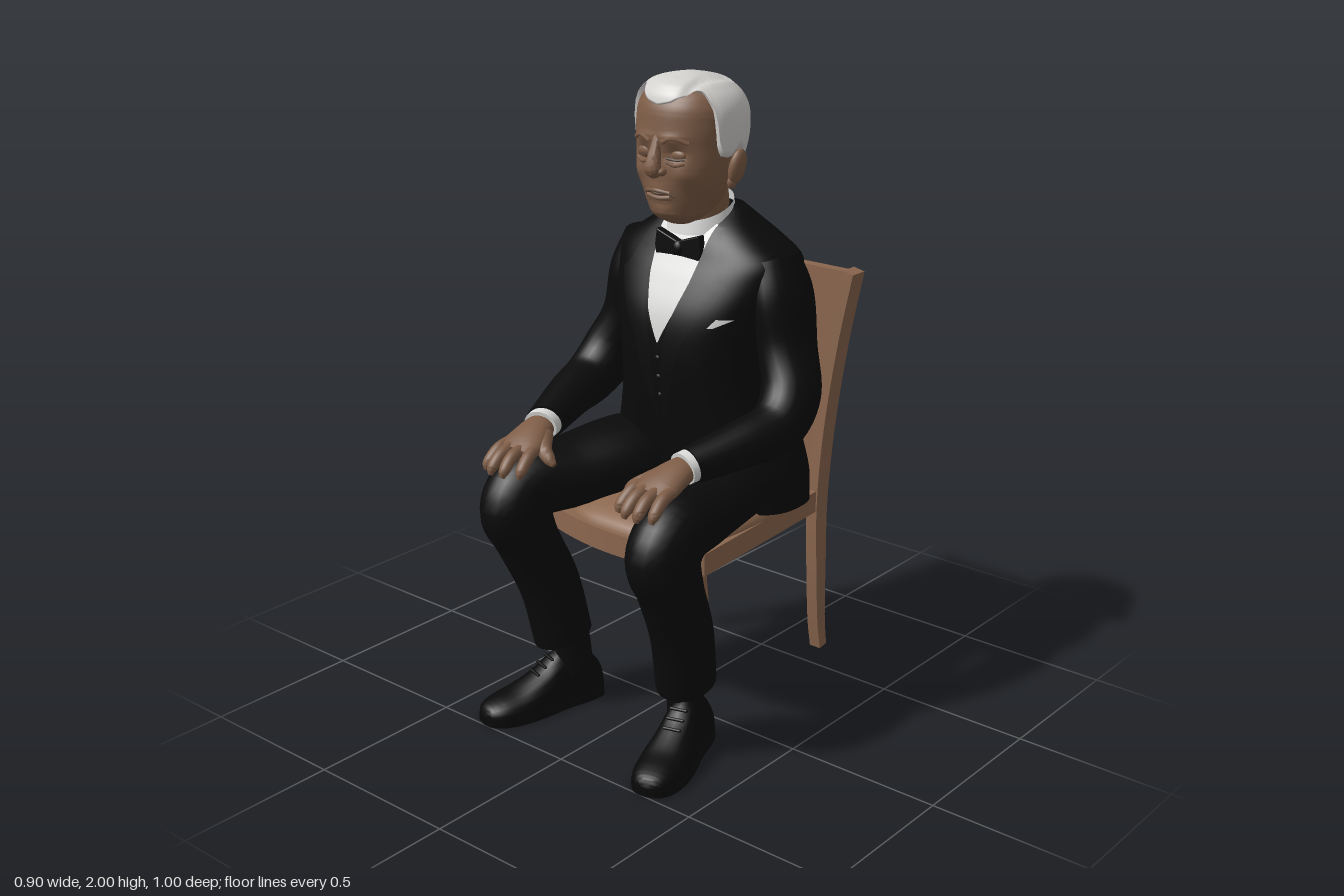
import * as THREE from 'three';
import { mergeVertices, toCreasedNormals } from 'three/addons/utils/BufferGeometryUtils.js';

const M = {};
for (const [name, color] of Object.entries({
  suit: 0x0a0a0b, satin: 0x0c0c0d, shoeLeather: 0x080808, shirt: 0xd9d9d8, hair: 0xd3d1ce,
  skin: 0x7d5c46, skinCrease: 0x4f382a, wood: 0x8b674f, cushionBrown: 0x8a664d,
})) M[name] = new THREE.MeshStandardMaterial({ color, name });
M.shirt.side = THREE.DoubleSide;

const root = new THREE.Group();
function add(name, geo, mat) {
  const m = new THREE.Mesh(geo, mat);
  m.name = name;
  root.add(m);
  return m;
}
const V = (x, y, z) => new THREE.Vector3(x, y, z);
const pw = (v, e) => Math.sign(v) * Math.abs(v) ** e;

// Surface through point(u, v): u runs across, v runs along
function grid(nu, nv, point) {
  const pos = [], idx = [], w = nu + 1;
  for (let i = 0; i <= nv; i++) for (let j = 0; j <= nu; j++) pos.push(...point(j / nu, i / nv).toArray());
  for (let i = 0; i < nv; i++) for (let j = 0; j < nu; j++) {
    const a = i * w + j;
    idx.push(a, a + 1, a + w + 1, a, a + w + 1, a + w);
  }
  const g = new THREE.BufferGeometry();
  g.setAttribute('position', new THREE.Float32BufferAttribute(pos, 3));
  g.setIndex(idx);
  const merged = mergeVertices(g, 1e-5);
  merged.computeVertexNormals();
  return merged;
}
// Closed sweep; rows are [x, y, z, half width, half depth]; nothing dips below floor
function limb(rows, { n = 2, sides = 24, square = false, steps = 6, floor = 0 } = {}) {
  const f = new THREE.CubicInterpolant(rows.map((_, i) => i), rows.flat(), 5);
  const at = t => Array.from(f.evaluate(t));
  const last = rows.length - 1, nv = last * steps;
  const geo = grid(sides, nv + 2, (u, v) => {
    const k = Math.round(v * (nv + 2)), t = THREE.MathUtils.clamp((k - 1) / nv, 0, 1) * last;
    const [x, y, z, a, b] = at(t), c = V(x, y, z);
    if (k === 0 || k === nv + 2) return c;
    const p = at(Math.max(0, t - 0.05)), q = at(Math.min(last, t + 0.05));
    const T = V(q[0] - p[0], q[1] - p[1], q[2] - p[2]).normalize();
    const X = V(1, 0, 0).addScaledVector(T, -T.x).normalize(), B = T.clone().cross(X);
    const ang = (u % 1) * Math.PI * 2 + (square ? Math.PI / 4 : 0), s = square ? Math.SQRT2 : 1;
    c.addScaledVector(X, a * s * pw(Math.cos(ang), 2 / n)).addScaledVector(B, b * s * pw(Math.sin(ang), 2 / n));
    c.y = Math.max(c.y, floor);
    return c;
  });
  return toCreasedNormals(geo, 0.9);
}
// Upright body; rows are [y, front z, back z, half width]
function body(rows, n, bump = () => 0) {
  const f = new THREE.CubicInterpolant(rows.map(r => r[0]), rows.flatMap(r => r.slice(1)), 3);
  const at = y => Array.from(f.evaluate(y));
  const y0 = rows[0][0], y1 = rows[rows.length - 1][0], nv = 60;
  const ring = (y, ang) => {
    const [front, back, rx] = at(y), x = rx * pw(Math.cos(ang), 2 / n), s = -Math.sin(ang);
    return V(x, y, (front + back) / 2 + (front - back) / 2 * pw(s, 2 / n) + (s > 0 ? bump(x, y) * s : 0));
  };
  const geo = grid(64, nv + 2, (u, v) => {
    const k = Math.round(v * (nv + 2)), y = y0 + (y1 - y0) * THREE.MathUtils.clamp((k - 1) / nv, 0, 1);
    if (k === 0 || k === nv + 2) return V(0, y, (at(y)[0] + at(y)[1]) / 2);
    return ring(y, (u % 1) * Math.PI * 2);
  });
  const frontZ = (x, y) => {
    const [front, back, rx] = at(y), s = Math.max(0, 1 - Math.abs(x / rx) ** n) ** (1 / n);
    return (front + back) / 2 + (front - back) / 2 * s + bump(x, y) * s;
  };
  return { geo: toCreasedNormals(geo, 1), frontZ, ring };
}
function blob(name, mat, p, s, rz = 0, rx = 0) {
  const m = add(name, new THREE.SphereGeometry(1, 20, 14), mat);
  m.position.set(...p);
  m.scale.set(...s);
  m.rotation.set(rx, 0, rz);
}
const lerpTable = (tab, v) => {
  let i = 0;
  while (i < tab.length - 2 && v > tab[i + 1][0]) i++;
  const [a, b] = [tab[i], tab[i + 1]];
  return a[1] + (b[1] - a[1]) * THREE.MathUtils.clamp((v - a[0]) / (b[0] - a[0]), 0, 1);
};

function buildChair() {
  const edge = y => 0.275 + 0.105 * Math.max(0, (y - 0.6) / 0.79) ** 1.7;
  // Flared back panel
  const s = new THREE.Shape(), ys = Array.from({ length: 13 }, (_, i) => 0.665 + i * 0.722 / 12);
  s.setFromPoints([...ys.map(y => new THREE.Vector2(edge(y) - 0.02, y)),
    ...ys.slice().reverse().map(y => new THREE.Vector2(0.02 - edge(y), y))]);
  add('chairBackPanel', new THREE.ExtrudeGeometry(s, { depth: 0.035, bevelEnabled: false }), M.wood).position.z = -0.468;
  for (const q of [1, -1]) {
    // Back post and splayed leg in one piece
    const rows = [[0.09, -0.478, 0.018], [0.2, -0.462, 0.021], [0.4, -0.444, 0.026], [0.6, -0.439, 0.029],
      [0.8, -0.442, 0.031], [1.0, -0.444, 0.031], [1.2, -0.445, 0.031], [1.39, -0.446, 0.031]]
      .map(([y, z, d]) => [q * (edge(y) - 0.02 - (y < 0.3 ? 0.006 : 0)), y, z, 0.02, d]);
    add('chairBackLeg', limb(rows, { sides: 4, square: true }), M.wood);
  }
  // Seat frame with bowed front edge
  const f = new THREE.Shape();
  f.moveTo(-0.27, 0.43);
  f.lineTo(0.27, 0.43);
  f.lineTo(0.31, -0.2);
  f.quadraticCurveTo(0, -0.31, -0.31, -0.2);
  const frame = new THREE.ExtrudeGeometry(f, { depth: 0.07, bevelEnabled: false, curveSegments: 16 });
  frame.rotateX(-Math.PI / 2);
  add('seatFrame', frame, M.wood).position.y = 0.59;
  // Domed cushion
  add('seatCushion', grid(48, 12, (u, v) => {
    const a = (u % 1) * Math.PI * 2, c = Math.cos(v * Math.PI / 2), k = 2 / 3.2;
    return V(0.29 * c * pw(Math.sin(a), k), 0.66 + 0.084 * Math.sin(v * Math.PI / 2), -0.085 + 0.33 * c * pw(Math.cos(a), k));
  }), M.cushionBrown);
}

function buildTorso() {
  const torso = body([[0.68, -0.04, -0.41, 0.335], [0.78, -0.02, -0.413, 0.33], [0.92, 0.01, -0.413, 0.285],
    [1.05, 0.035, -0.413, 0.25], [1.18, 0.045, -0.415, 0.25], [1.3, 0.03, -0.41, 0.275], [1.4, -0.015, -0.39, 0.3],
    [1.46, -0.05, -0.37, 0.3], [1.51, -0.075, -0.345, 0.235], [1.555, -0.11, -0.312, 0.165], [1.6, -0.18, -0.268, 0.1]], 2.6);
  add('jacket', torso.geo, M.suit);
  // Panels that follow the chest, between two edges
  const panel = (name, mat, y0, y1, l, r, off) => add(name, grid(10, 30, (u, v) => {
    const y = y0 + (y1 - y0) * v, x = l(y) + (r(y) - l(y)) * u;
    return V(x, y, torso.frontZ(x, y) + off);
  }), mat);
  const vee = y => lerpTable([[1.21, 0.002], [1.3, 0.046], [1.4, 0.078], [1.5, 0.096], [1.56, 0.1]], y);
  const lapelOut = y => lerpTable([[0.97, 0.02], [1.2, 0.08], [1.4, 0.2], [1.42, 0.17], [1.55, 0.125]], y);
  const lapelIn = y => lerpTable([[0.97, 0.004], [1.21, 0.025], [1.3, 0.052], [1.4, 0.08], [1.55, 0.1]], y);
  panel('shirtFront', M.shirt, 1.21, 1.555, y => -vee(y), vee, 0.005);
  for (const x of [-0.022, 0, 0.022])
    panel('shirtPleat', M.shirt, 1.29, 1.46, () => x - 0.005, () => x + 0.005, 0.009);
  panel('rightLapel', M.satin, 0.97, 1.55, y => -lapelOut(y), y => -lapelIn(y), 0.011);
  panel('leftLapel', M.satin, 0.97, 1.55, lapelIn, lapelOut, 0.011);
  panel('pocketSquare', M.shirt, 1.278, 1.305, y => 0.165 + (y - 1.278) * 0.8, y => 0.18 + (y - 1.278) * 1.9, 0.01);
  for (const y of [1.16, 1.1, 1.04]) blob('waistcoatButton', M.satin, [0, y, torso.frontZ(0, y) + 0.002], [0.01, 0.01, 0.005]);
  // Shirt collar, higher at the nape
  add('collar', grid(40, 4, (u, v) => {
    const a = (u % 1) * Math.PI * 2, c = Math.cos(a), k = 1.05 - 0.1 * v;
    return V(Math.sin(a) * 0.104 * k, 1.54 - 0.02 * c + v * (0.058 - 0.016 * c), -0.16 + c * 0.098 * k);
  }), M.shirt);
  // Bow tie
  const b = new THREE.Shape([[0, 0.018], [0.078, 0.045], [0.084, 0], [0.078, -0.045], [0, -0.018],
    [-0.078, -0.045], [-0.084, 0], [-0.078, 0.045]].map(p => new THREE.Vector2(...p)));
  add('bowTie', new THREE.ExtrudeGeometry(b, { depth: 0.016, bevelSize: 0.004, bevelThickness: 0.006, bevelSegments: 2 }), M.satin)
    .position.set(0, 1.48, -0.066);
  blob('bowKnot', M.satin, [0, 1.48, -0.05], [0.02, 0.024, 0.016]);
}

function buildHead() {
  add('neck', limb([[0, 1.48, -0.17, 0.09, 0.085], [0, 1.58, -0.157, 0.088, 0.085], [0, 1.7, -0.13, 0.095, 0.09]]), M.skin);
  // Sculpting rule: [x, y, spread x, spread y, depth]
  const dents = [[0.058, 1.778, 0.032, 0.02, -0.016], [0.05, 1.825, 0.045, 0.014, 0.008], [0.085, 1.72, 0.03, 0.025, 0.01],
    [0.1, 1.655, 0.025, 0.03, -0.01], [0, 1.67, 0.04, 0.022, 0.007], [0, 1.6, 0.035, 0.015, 0.006], [0, 1.635, 0.04, 0.009, -0.006]];
  const bump = (x, y) => dents.reduce((s, [a, b, p, q, d]) =>
    s + d * Math.exp(-(((Math.abs(x) - a) / p) ** 2) - ((y - b) / q) ** 2), 0);
  const head = body([[1.56, -0.025, -0.09, 0.035], [1.58, 0.01, -0.12, 0.075], [1.62, 0.032, -0.18, 0.104],
    [1.67, 0.043, -0.195, 0.13], [1.74, 0.05, -0.22, 0.146], [1.8, 0.052, -0.24, 0.15], [1.86, 0.05, -0.25, 0.153],
    [1.92, 0.035, -0.24, 0.145], [1.96, 0, -0.2, 0.112], [1.985, -0.05, -0.15, 0.05]], 2.15, bump);
  add('head', head.geo, M.skin);
  // Thin lines that hug the face
  const line = (name, mat, pts, r) => add(name, new THREE.TubeGeometry(new THREE.CatmullRomCurve3(
    pts.map(([x, y]) => V(x, y, head.frontZ(x, y)))), 16, r, 6), mat);
  line('mouthLine', M.skinCrease, [[-0.055, 1.657], [-0.025, 1.665], [0, 1.662], [0.025, 1.665], [0.055, 1.657]], 0.0028);
  line('lowerLip', M.skin, [[-0.042, 1.654], [0, 1.649], [0.042, 1.654]], 0.008);
  line('upperLip', M.skin, [[-0.042, 1.667], [0, 1.672], [0.042, 1.667]], 0.006);
  add('nose', limb([[0, 1.83, 0.04, 0.014, 0.014], [0, 1.79, 0.054, 0.017, 0.017], [0, 1.755, 0.064, 0.024, 0.021],
    [0, 1.735, 0.065, 0.027, 0.023], [0, 1.717, 0.055, 0.018, 0.015]]), M.skin);
  for (const s of [1, -1]) {
    blob('nostril', M.skin, [s * 0.024, 1.73, 0.054], [0.014, 0.013, 0.017]);
    blob('eyelid', M.skin, [s * 0.058, 1.778, head.frontZ(0.058, 1.778) - 0.004], [0.03, 0.017, 0.013]);
    line('eyeSlit', M.skinCrease, [[s * 0.032, 1.768], [s * 0.058, 1.764], [s * 0.086, 1.768]], 0.0045);
    line('eyeBag', M.skin, [[s * 0.034, 1.757], [s * 0.06, 1.75], [s * 0.088, 1.757]], 0.006);
    line('eyebrow', M.skin, [[s * 0.024, 1.815], [s * 0.055, 1.829], [s * 0.098, 1.815]], 0.0075);
    blob('ear', M.skin, [s * 0.16, 1.735, -0.125], [0.02, 0.054, 0.032], -s * 0.15, -0.15);
    blob('earLobe', M.skin, [s * 0.15, 1.69, -0.112], [0.012, 0.02, 0.016]);
  }
  // Swept-back hair with receding temples; each column rises from the hairline
  const hair = body([[1.62, 0, -0.185, 0.1], [1.68, 0.03, -0.218, 0.128], [1.75, 0.055, -0.258, 0.157], [1.85, 0.06, -0.277, 0.172],
    [1.92, 0.047, -0.262, 0.163], [1.96, 0.028, -0.232, 0.132], [1.985, -0.01, -0.19, 0.088], [2.0, -0.085, -0.115, 0.01]], 2.1);
  const hairline = [[0, 1.915], [14, 1.925], [30, 1.95], [44, 1.965], [56, 1.955], [63, 1.9], [69, 1.8], [74, 1.765], [88, 1.755],
    [96, 1.79], [108, 1.77], [118, 1.7], [130, 1.675], [180, 1.66]];
  add('hair', grid(120, 26, (u, v) => {
    if (v === 1) return V(0, 2, -0.1);
    const deg = (u % 1) * 360, a = deg * Math.PI / 180 - Math.PI / 2;
    const base = lerpTable(hairline, Math.min(deg, 360 - deg));
    const p = hair.ring(base + (2.0 - base) * Math.sin(v * Math.PI / 2), a);
    if (v === 0) p.set(p.x * 0.82, p.y, -0.1 + (p.z + 0.1) * 0.82);
    if (p.y > 1.9 && p.z > -0.18) p.y -= 0.01 * Math.exp(-(((p.x - 0.08) / 0.015) ** 2));
    return p;
  }), M.hair);
  // Front wave
  blob('hairWave', M.hair, [-0.01, 1.952, -0.022], [0.07, 0.034, 0.05], 0.12, 0.5);
}

function buildLimbs(s) {
  const mir = rows => rows.map(([x, ...r]) => [s * x, ...r]);
  add('sleeve', limb(mir([[0.24, 1.46, -0.2, 0.07, 0.09], [0.275, 1.35, -0.2, 0.082, 0.115], [0.307, 1.2, -0.19, 0.08, 0.105],
    [0.352, 1.08, -0.15, 0.087, 0.1], [0.367, 1.0, -0.06, 0.083, 0.085], [0.34, 0.975, 0.07, 0.075, 0.07],
    [0.285, 0.945, 0.24, 0.062, 0.054]])), M.suit);
  add('shirtCuff', limb(mir([[0.292, 0.949, 0.215, 0.056, 0.049], [0.28, 0.941, 0.266, 0.056, 0.047]]), { steps: 2 }), M.shirt);
  // Hand resting on the knee
  add('hand', limb(mir([[0.283, 0.943, 0.25, 0.044, 0.036], [0.275, 0.93, 0.3, 0.058, 0.037], [0.266, 0.91, 0.355, 0.072, 0.033],
    [0.264, 0.895, 0.4, 0.068, 0.022]])), M.skin);
  [[0.21, 0.196, 0.445], [0.247, 0.24, 0.47], [0.284, 0.286, 0.473], [0.318, 0.325, 0.452]].forEach(([x, tip, z]) =>
    add('finger', limb(mir([[x, 0.908, 0.365, 0.019, 0.02], [(x + tip) / 2, 0.897, z - 0.045, 0.019, 0.02],
      [tip, 0.865, z - 0.006, 0.017, 0.017], [tip, 0.843, z + 0.005, 0.007, 0.007]]), { sides: 10 }), M.skin));
  add('thumb', limb(mir([[0.24, 0.928, 0.29, 0.027, 0.026], [0.2, 0.905, 0.335, 0.024, 0.023], [0.165, 0.885, 0.35, 0.019, 0.019],
    [0.143, 0.872, 0.353, 0.009, 0.009]]), { sides: 12 }), M.skin);
  // Trouser leg, hip to hem
  add('trouserLeg', limb(mir([[0.15, 0.785, -0.25, 0.14, 0.11], [0.195, 0.79, -0.02, 0.16, 0.118], [0.25, 0.775, 0.18, 0.135, 0.108],
    [0.286, 0.765, 0.31, 0.11, 0.112], [0.292, 0.7, 0.366, 0.102, 0.122], [0.286, 0.59, 0.33, 0.1, 0.098],
    [0.268, 0.42, 0.255, 0.094, 0.097], [0.253, 0.235, 0.214, 0.086, 0.1]])), M.suit);
  add('sock', limb([[s * 0.225, 0.11, 0.185, 0.05, 0.062], [s * 0.245, 0.32, 0.2, 0.055, 0.062]]), M.suit);
  // Shoe turned slightly outward; entries are [length, half width, height]
  const shoe = [[0, 0.03, 0.08], [0.015, 0.05, 0.12], [0.07, 0.06, 0.175], [0.15, 0.063, 0.18], [0.22, 0.074, 0.13],
    [0.3, 0.08, 0.09], [0.37, 0.07, 0.072], [0.41, 0.046, 0.056], [0.424, 0.016, 0.035]];
  const turn = new THREE.Matrix4().makeRotationY(s * 0.29).setPosition(s * 0.215, 0, 0.09);
  add('shoe', limb(shoe.map(([z, w, h]) => [0, 0.025, z, w, h - 0.025]), { n: 2.3, floor: 0.015 }).applyMatrix4(turn), M.shoeLeather);
  const outline = new THREE.Shape();
  outline.setFromPoints(new THREE.SplineCurve([...shoe.map(([z, w]) => new THREE.Vector2(w + 0.002, -z)),
    ...shoe.slice().reverse().map(([z, w]) => new THREE.Vector2(-w - 0.002, -z))]).getPoints(50));
  add('sole', new THREE.ExtrudeGeometry(outline, { depth: 0.022, bevelEnabled: false }).rotateX(-Math.PI / 2).applyMatrix4(turn), M.shoeLeather);
  for (const i of [0, 1, 2]) {
    const lace = new THREE.CapsuleGeometry(0.005, 0.05, 3, 8).rotateZ(Math.PI / 2).translate(0, 0.165 - i * 0.02, 0.185 + i * 0.026);
    add('shoelace', lace.applyMatrix4(turn), M.shoeLeather);
  }
}

export function createModel() {
  root.clear();
  buildChair();
  buildTorso();
  buildHead();
  buildLimbs(1);
  buildLimbs(-1);
  return root;
}
